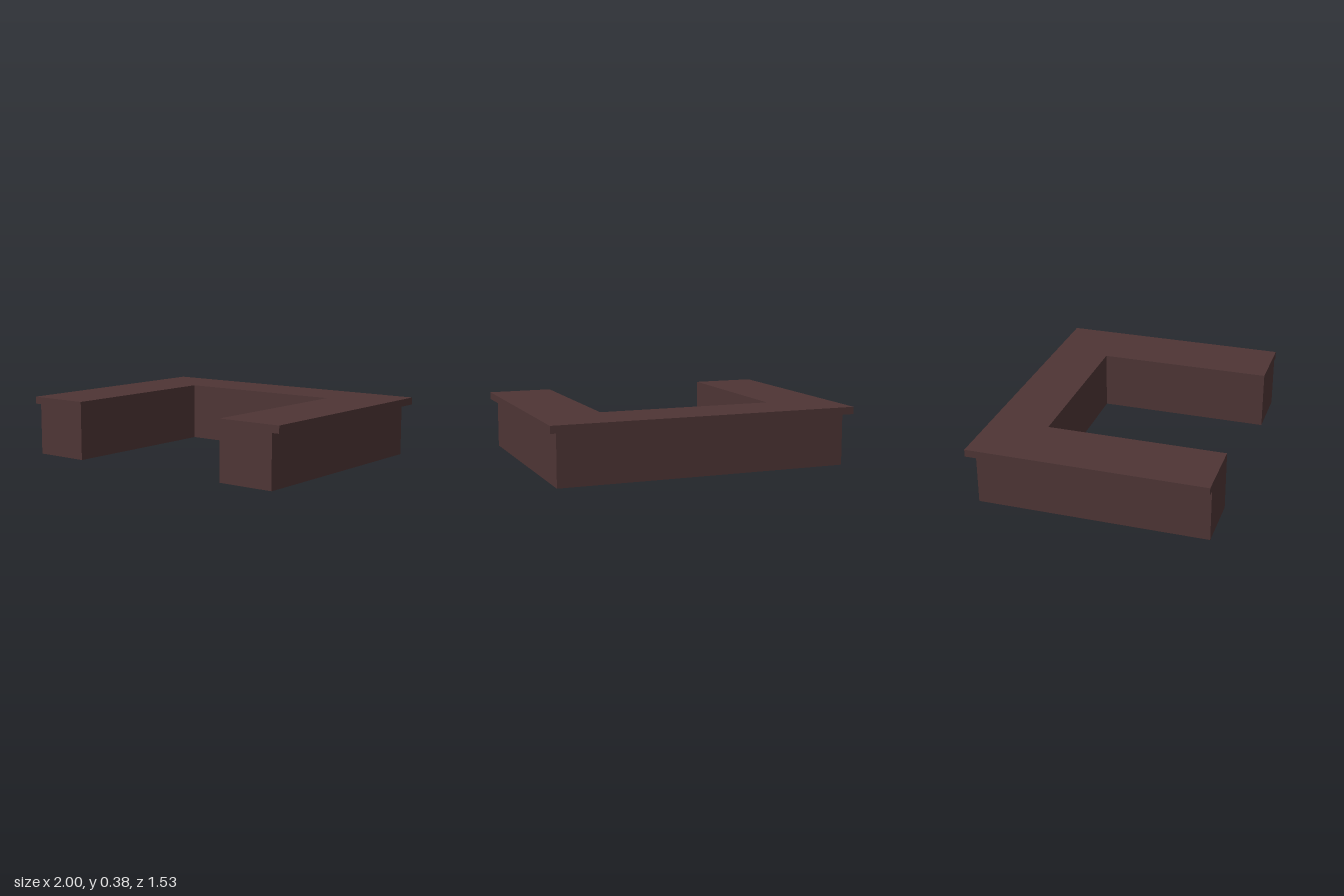
import * as THREE from 'three';

const FRONT = 0.763;   // z of the open ends
const INNER_X = 0.573; // half width of the opening
const INNER_Z = -0.385; // back wall of the opening

// U-shaped prism open toward +z, between heights y0 and y1
function uPrism(name, halfWidth, backZ, y0, y1, material) {
  const outline = [
    [-halfWidth, FRONT], [-INNER_X, FRONT], [-INNER_X, INNER_Z], [INNER_X, INNER_Z],
    [INNER_X, FRONT], [halfWidth, FRONT], [halfWidth, backZ], [-halfWidth, backZ],
  ];
  // plan z becomes -y in the shape, then the extrusion is turned upright
  const shape = new THREE.Shape(outline.map(([x, z]) => new THREE.Vector2(x, -z)));
  const geometry = new THREE.ExtrudeGeometry(shape, { depth: y1 - y0, bevelEnabled: false });
  geometry.rotateX(-Math.PI / 2);
  geometry.translate(0, y0, 0);
  const mesh = new THREE.Mesh(geometry, material);
  mesh.name = name;
  return mesh;
}

export function createModel() {
  const group = new THREE.Group();
  group.name = 'counter';

  const darkBrown = new THREE.MeshStandardMaterial({ color: 0x4e3535 });
  darkBrown.name = 'darkBrown';

  // Base, set back under the top on the outer sides
  group.add(uPrism('counterBase', 0.95, -0.713, 0, 0.335, darkBrown));
  // Top, flush inside and overhanging outside
  group.add(uPrism('counterTop', 1, -0.763, 0.335, 0.382, darkBrown));

  return group;
}
